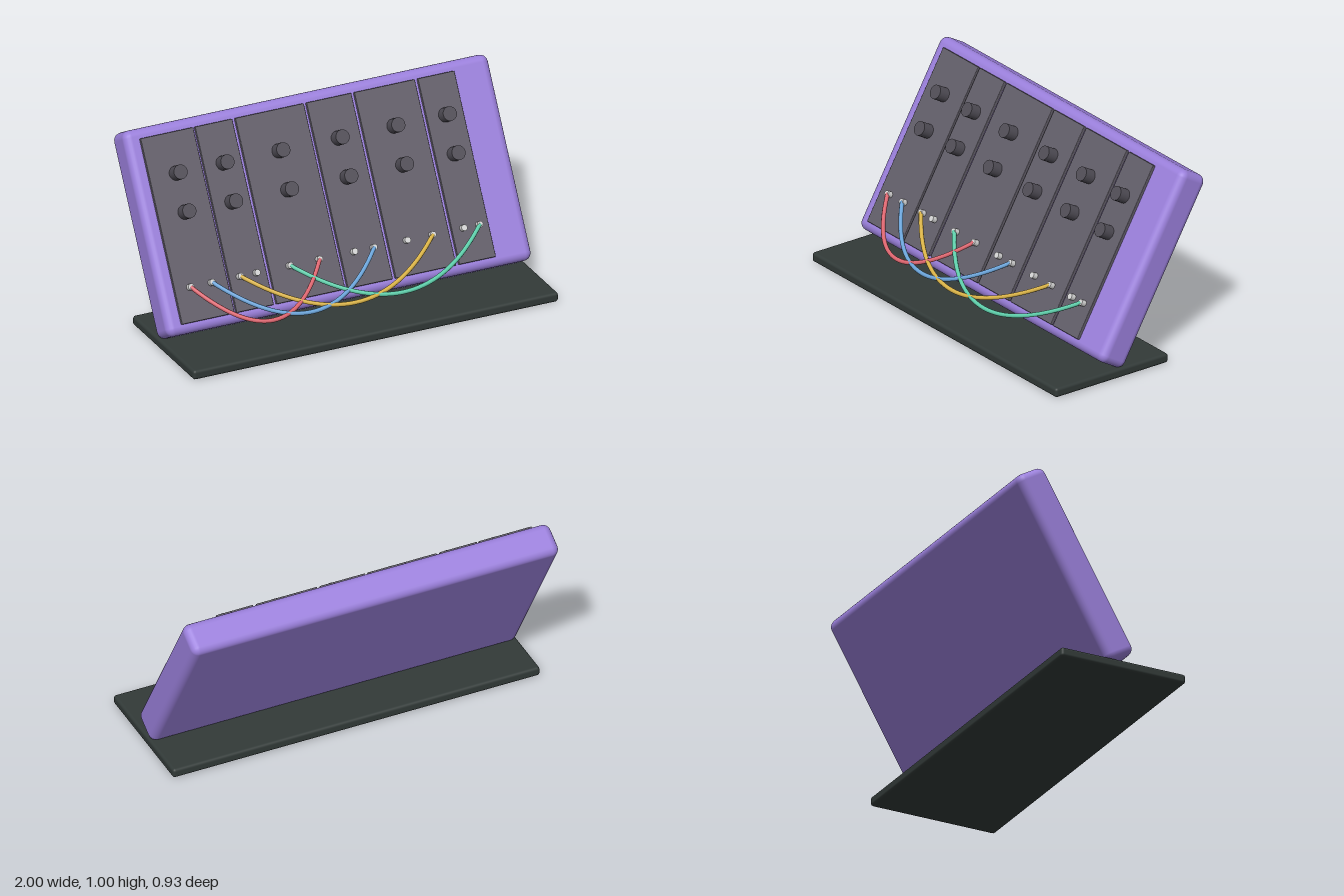
import * as THREE from 'three';
import { RoundedBoxGeometry } from 'three/addons/geometries/RoundedBoxGeometry.js';

const mat = (name, color) => {
  const m = new THREE.MeshStandardMaterial({ color });
  m.name = name;
  return m;
};

export function createModel() {
  const purple = mat('purple case', 0x9b80dc);
  const panelGrey = mat('panel grey', 0x625e69);
  const knobGrey = mat('knob grey', 0x514e57);
  const silver = mat('silver', 0xd8d8d8);
  const slate = mat('dark slate', 0x323a38);
  const red = mat('red cable', 0xdf6670);
  const blue = mat('blue cable', 0x6ca6dc);
  const yellow = mat('yellow cable', 0xdcb548);
  const green = mat('green cable', 0x5fd0ac);

  const model = new THREE.Group();
  model.name = 'modularSynthesizer';
  const add = (parent, name, geometry, material, x = 0, y = 0, z = 0) => {
    const mesh = new THREE.Mesh(geometry, material);
    mesh.name = name;
    mesh.position.set(x, y, z);
    parent.add(mesh);
    return mesh;
  };

  // Flat foot plate
  add(model, 'base', new RoundedBoxGeometry(2, 0.05, 0.695, 3, 0.015), slate, 0, 0.025, 0.118);

  // Leaning cabinet: local y runs up its face, local z points out of it
  const cabinet = new THREE.Group();
  cabinet.name = 'cabinet';
  cabinet.rotation.x = -Math.PI / 6;
  model.add(cabinet);
  add(cabinet, 'case', new RoundedBoxGeometry(2, 1.04, 0.172, 3, 0.04), purple, 0, 0.525, 0.138);

  // Module panels, each with two knobs on its centre line
  const panels = [[-0.925, -0.636], [-0.626, -0.422], [-0.406, -0.03],
    [-0.016, 0.23], [0.246, 0.578], [0.594, 0.795]];
  const knob = new THREE.CylinderGeometry(0.037, 0.037, 0.065, 16).rotateX(Math.PI / 2);
  for (const [left, right] of panels) {
    const x = (left + right) / 2;
    add(cabinet, 'modulePanel', new RoundedBoxGeometry(right - left, 0.94, 0.025, 1, 0.004), panelGrey, x, 0.523, 0.2275);
    for (const y of [0.592, 0.789]) add(cabinet, 'knob', knob, knobGrey, x, y, 0.27);
  }

  // Row of sockets
  const jack = new THREE.CylinderGeometry(0.016, 0.016, 0.03, 12).rotateX(Math.PI / 2);
  for (const x of [-0.845, -0.727, -0.572, -0.481, -0.3, -0.139,
    0.053, 0.16, 0.342, 0.481, 0.652, 0.738]) {
    add(cabinet, 'jack', jack, silver, x, 0.225, 0.253);
  }

  // Patch cables sagging forward between pairs of sockets
  const cables = [[-0.845, -0.139, red], [-0.727, 0.16, blue],
    [-0.572, 0.481, yellow], [-0.3, 0.738, green]];
  for (const [from, to, material] of cables) {
    const curve = new THREE.QuadraticBezierCurve3(
      new THREE.Vector3(from, 0.325, 0.113),
      new THREE.Vector3((from + to) / 2, -0.005, 0.533),
      new THREE.Vector3(to, 0.325, 0.113));
    add(model, 'patchCable', new THREE.TubeGeometry(curve, 40, 0.011, 8), material);
  }
  return model;
}
